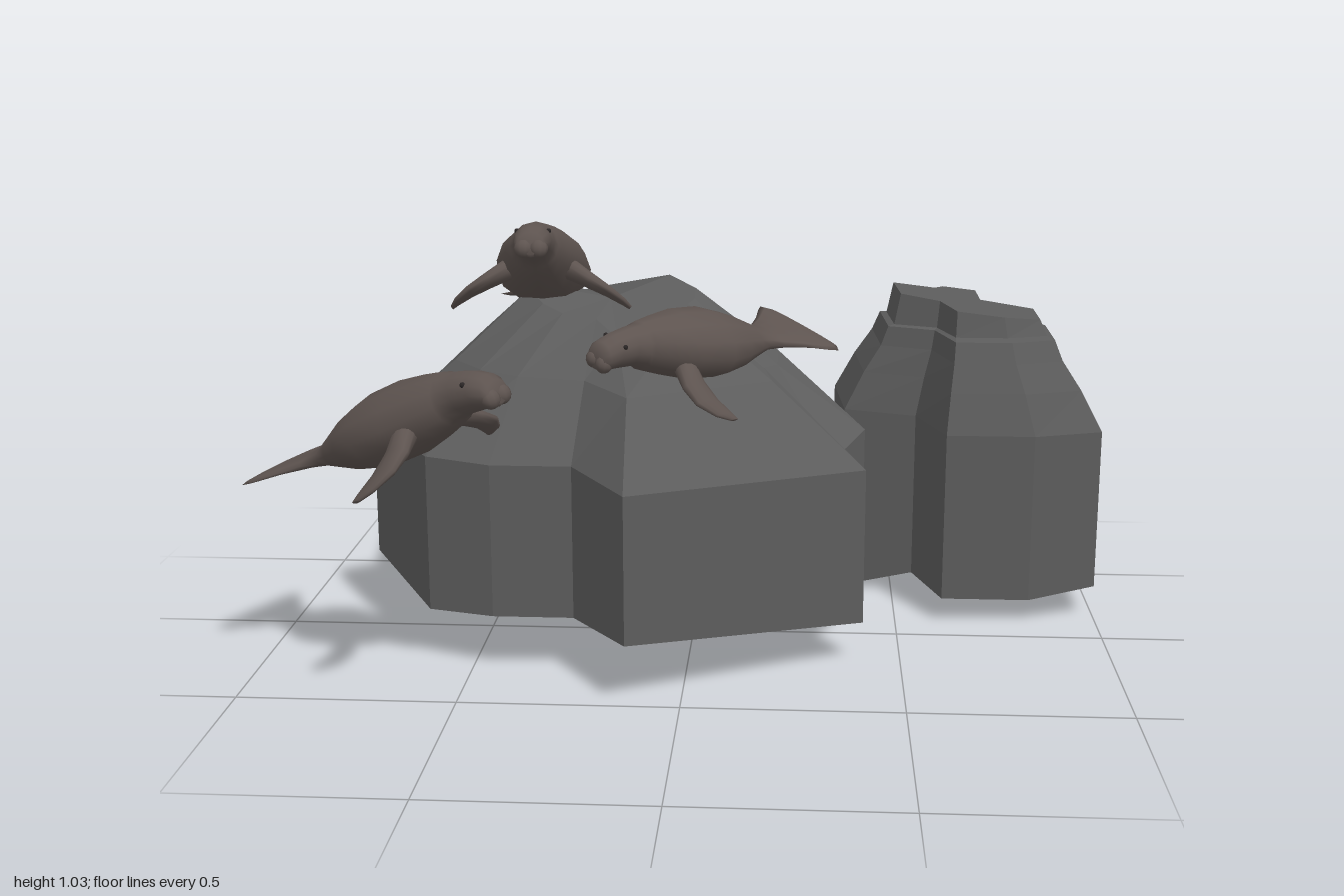
import * as THREE from 'three';
import { mergeVertices } from 'three/addons/utils/BufferGeometryUtils.js';

const rockMat = new THREE.MeshStandardMaterial({ color: 0x5c5c5c, flatShading: true });
const skinMat = new THREE.MeshStandardMaterial({ color: 0x5e5450 });
const darkMat = new THREE.MeshStandardMaterial({ color: 0x2a2626 });

// Skin a stack of rings and close both ends with a fan
function loft(rings, smooth) {
  const pos = [];
  const tri = (...p) => p.forEach((v) => pos.push(...v));
  const n = rings[0].length;
  const mean = (r) => [0, 1, 2].map((k) => r.reduce((s, p) => s + p[k], 0) / n);
  const first = rings[0], last = rings[rings.length - 1];
  const c0 = mean(first), c1 = mean(last);
  for (let i = 0; i < n; i++) {
    const j = (i + 1) % n;
    for (let k = 0; k + 1 < rings.length; k++) {
      const a = rings[k][i], b = rings[k][j], c = rings[k + 1][j], d = rings[k + 1][i];
      tri(b, a, d);
      tri(b, d, c);
    }
    tri(c0, first[i], first[j]);
    tri(c1, last[j], last[i]);
  }
  let g = new THREE.BufferGeometry();
  g.setAttribute('position', new THREE.Float32BufferAttribute(pos, 3));
  if (smooth) g = mergeVertices(g, 1e-4);
  g.computeVertexNormals();
  return g;
}

function add(parent, name, geo, mat) {
  const m = new THREE.Mesh(geo, mat);
  m.name = name;
  parent.add(m);
  return m;
}

// Large rock: foot x, z, foot height, wall height, then shoulder x, z, height
function largeRock() {
  const rows = [
    [-0.475, -0.64, 0.14, 0.56, -0.40, -0.42, 0.70],
    [-0.19, -0.475, 0.15, 0.56, -0.20, -0.34, 0.74],
    [0.165, -0.19, 0.15, 0.54, 0.07, -0.15, 0.73],
    [0.375, -0.05, 0.15, 0.54, 0.20, -0.05, 0.70],
    [0.41, 0.05, 0.16, 0.53, 0.20, 0.03, 0.68],
    [0.337, 0.145, 0.14, 0.48, 0.17, 0.07, 0.68],
    [0.41, 0.20, 0.10, 0.47, 0.19, 0.12, 0.66],
    [-0.12, 0.525, 0.15, 0.49, -0.13, 0.32, 0.66],
    [-0.257, 0.32, 0.14, 0.50, -0.24, 0.19, 0.67],
    [-0.444, 0.32, 0.14, 0.50, -0.40, 0.15, 0.67],
    [-0.604, 0.25, 0.13, 0.50, -0.50, 0.08, 0.67],
    [-0.79, -0.04, 0.18, 0.50, -0.58, -0.03, 0.67],
    [-0.685, -0.075, 0.16, 0.53, -0.56, -0.07, 0.68],
    [-0.727, -0.40, 0.15, 0.53, -0.55, -0.27, 0.70],
  ];
  // Crown slopes away from a ridge to the front and the back
  const crown = ([, , , , x, z]) => {
    const cz = -0.19 + (z + 0.19) * 0.55;
    const y = cz > -0.19 ? 0.87 - 0.42 * (cz + 0.19) : 0.87 + 0.6 * (cz + 0.19);
    return [-0.22 + (x + 0.22) * 0.52, y, cz];
  };
  return loft([
    rows.map((r) => [r[0], r[2], r[1]]),
    rows.map((r) => [r[0], r[3], r[1]]),
    rows.map((r) => [r[4], r[6], r[5]]),
    rows.map(crown),
  ]);
}

// Small rock: foot x, z, foot height; upper rings shrink in steps
function smallRock() {
  const foot = [
    [0.348, -0.65, 0.08], [0.55, -0.65, 0.06], [0.594, -0.72, 0.08], [0.754, -0.72, 0.08],
    [0.754, -0.48, 0.06], [1, -0.42, 0.08], [1, -0.16, 0.08], [0.83, -0.10, 0.06],
    [0.615, -0.10, 0.06], [0.55, -0.305, 0.06], [0.37, -0.37, 0.0],
  ];
  // Height, x scale, z scale, sideways tilt
  const levels = [
    [0.48, 1, 1, 0], [0.58, 0.84, 0.91, 0], [0.65, 0.7, 0.83, 0],
    [0.70, 0.64, 0.77, 0], [0.705, 0.59, 0.64, 0], [0.765, 0.54, 0.6, -0.12],
  ];
  const ring = ([y, sx, sz, tilt]) => foot.map(([x, z]) =>
    [0.67 + (x - 0.67) * sx, y + (x - 0.67) * sx * tilt, -0.38 + (z + 0.38) * sz]);
  return loft([foot.map(([x, z, y]) => [x, y, z]), ...levels.map(ring)]);
}

// Swimming animal, nose towards +z
function seal(nose, tail, roll, size) {
  const g = new THREE.Group();
  const SIDES = 12;
  const angles = Array.from({ length: SIDES }, (_, i) => (i / SIDES) * Math.PI * 2);

  // Body sections: z, centre height, half width, half height
  const body = [
    [0.362, -0.005, 0.03, 0.026], [0.35, 0, 0.04, 0.036], [0.315, 0.01, 0.044, 0.042],
    [0.27, 0.016, 0.048, 0.047], [0.235, 0.015, 0.054, 0.053], [0.228, 0.013, 0.062, 0.06],
    [0.18, 0.01, 0.078, 0.07], [0.10, 0.005, 0.105, 0.082], [0.0, 0, 0.115, 0.082],
    [-0.08, -0.004, 0.096, 0.065], [-0.15, -0.008, 0.068, 0.042], [-0.195, -0.01, 0.054, 0.026],
    [-0.24, -0.01, 0.066, 0.017], [-0.29, -0.006, 0.096, 0.012],
    [-0.335, -0.002, 0.132, 0.009], [-0.355, 0, 0.144, 0.008], [-0.375, 0, 0.12, 0.004],
  ];
  add(g, 'body', loft(body.map(([z, y, w, h]) =>
    angles.map((a) => [Math.cos(a) * w, y + Math.sin(a) * h, z])), true), skinMat);

  // Flipper sections: x, y, z, half chord, half thickness
  const flipper = [
    [0.07, -0.02, 0.13, 0.03, 0.022], [0.12, -0.05, 0.135, 0.036, 0.016],
    [0.165, -0.075, 0.125, 0.038, 0.011], [0.20, -0.095, 0.095, 0.028, 0.007],
    [0.215, -0.105, 0.07, 0.012, 0.004],
  ];
  const flipperGeo = loft(flipper.map(([x, y, z, c, t]) =>
    angles.map((a) => [x + Math.sin(a) * t * 0.6, y + Math.sin(a) * t, z + Math.cos(a) * c])), true);
  const ball = new THREE.SphereGeometry(1, 10, 8);
  for (const s of [1, -1]) {
    const side = s > 0 ? 'left' : 'right';
    add(g, side + 'Flipper', flipperGeo, skinMat).scale.x = s;
    const cheek = add(g, side + 'Muzzle', ball, skinMat);
    cheek.position.set(s * 0.017, -0.014, 0.35);
    cheek.scale.set(0.022, 0.022, 0.02);
    const eye = add(g, side + 'Eye', ball, darkMat);
    eye.position.set(s * 0.036, 0.034, 0.31);
    eye.scale.setScalar(0.006);
  }

  const n = new THREE.Vector3(...nose), t = new THREE.Vector3(...tail);
  g.position.copy(n).add(t).multiplyScalar(0.5);
  g.lookAt(n);
  g.rotateZ(roll);
  g.scale.setScalar(size);
  return g;
}

export function createModel() {
  const model = new THREE.Group();
  add(model, 'largeRock', largeRock(), rockMat);
  add(model, 'smallRock', smallRock(), rockMat);
  const seals = [
    ['restingSeal', [-0.355, 0.995, 0.21], [-0.395, 0.755, -0.48], 0, 1],
    ['frontSeal', [-0.17, 0.775, 0.41], [0.24, 0.75, -0.06], -0.28, 0.92],
    ['swimmingSeal', [-0.36, 0.755, 0.66], [-0.92, 0.485, 0.28], 0.15, 1],
  ];
  for (const [name, ...args] of seals) {
    const s = seal(...args);
    s.name = name;
    model.add(s);
  }
  return model;
}
